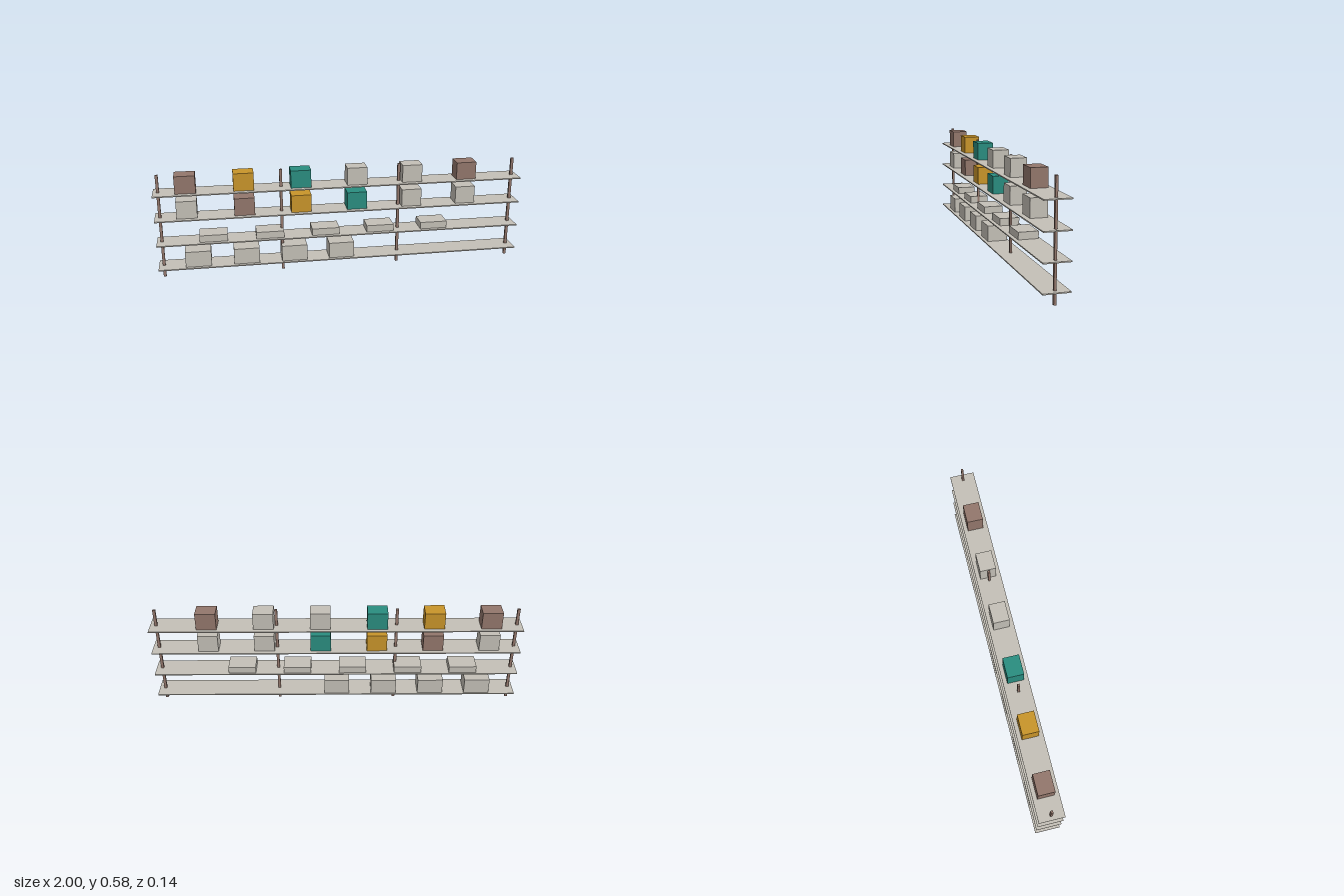
import * as THREE from 'three';

export function createModel() {
  const model = new THREE.Group();
  const paint = (name, color) => {
    const m = new THREE.MeshStandardMaterial({ color });
    m.name = name;
    return m;
  };
  const grey = paint('warm grey', 0xc4c0b7);
  const brown = paint('brown', 0x93776c);
  const amber = paint('amber', 0xc9952a);
  const teal = paint('teal', 0x2a8d80);

  // Box resting on height y
  const addBox = (name, material, w, h, d, x, y, z = 0) => {
    const mesh = new THREE.Mesh(new THREE.BoxGeometry(w, h, d), material);
    mesh.name = name;
    mesh.position.set(x, y + h / 2, z);
    model.add(mesh);
  };

  // Uprights
  for (const x of [-0.973, -0.326, 0.321, 0.968]) addBox('post', brown, 0.015, 0.58, 0.012, x, 0);

  // Shelves
  const shelfY = [0.06, 0.199, 0.338, 0.477];
  const thick = 0.006;
  for (const y of shelfY) addBox('shelf', grey, 2, thick, 0.135, 0, y);

  // A row of equal goods: one material per item, null leaves a gap
  const addRow = (name, shelf, materials, start, step, [w, h, d], z) => {
    materials.forEach((m, i) => {
      if (m) addBox(name, m, w, h, d, start + i * step, shelfY[shelf] + thick, z);
    });
  };

  addRow('crate', 0, Array(4).fill(grey), -0.786, 0.261, [0.139, 0.087, 0.109], -0.005);
  addRow('tray', 1, Array(5).fill(grey), -0.698, 0.304, [0.15, 0.038, 0.104], -0.005);
  const cube = [0.109, 0.096, 0.087];
  addRow('carton', 2, [grey, brown, amber, teal, grey, grey], -0.83, 0.3046, cube, -0.002);
  addRow('carton', 3, [brown, amber, teal, grey, grey, brown], -0.83, 0.3046, cube, -0.002);

  return model;
}
